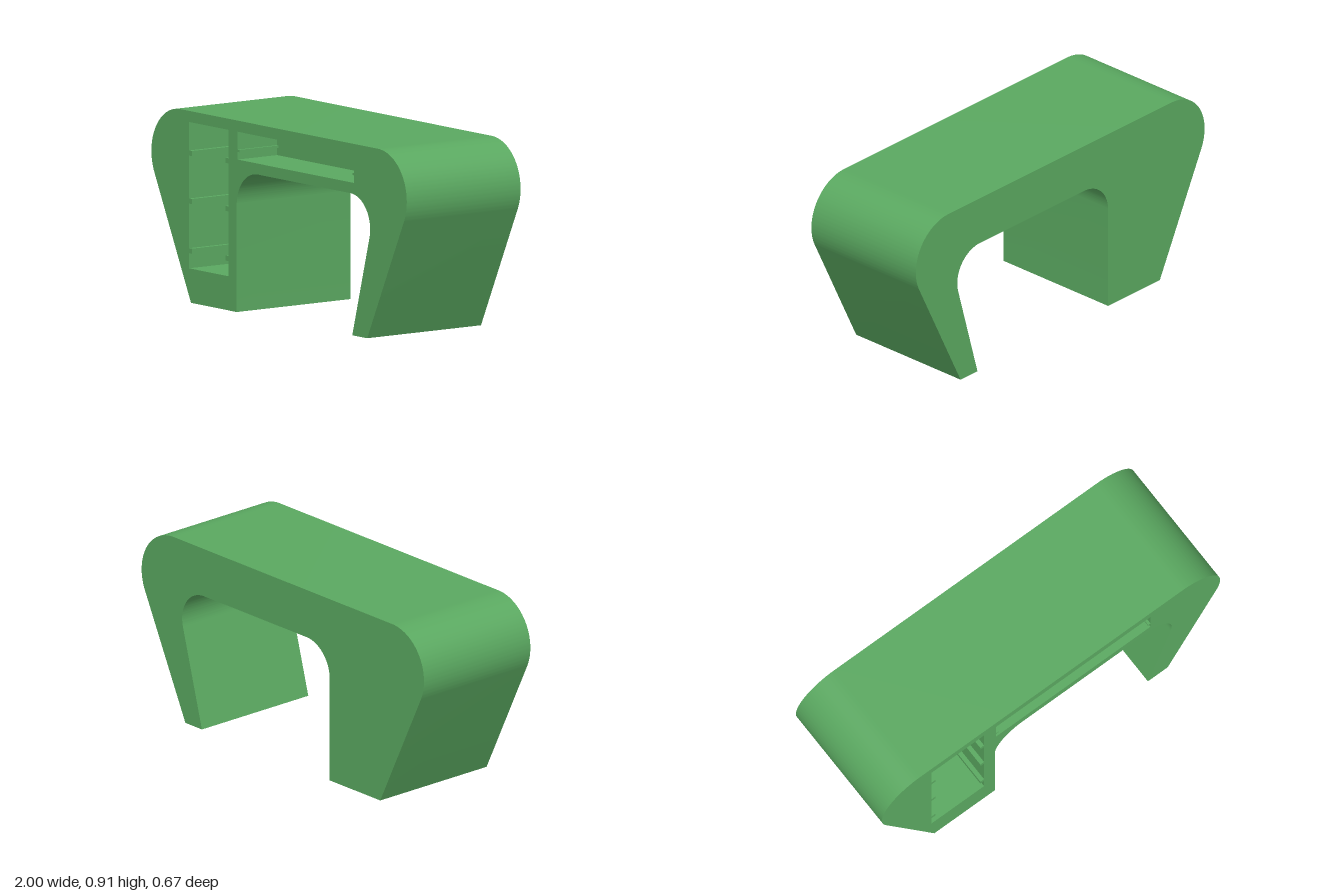
import * as THREE from 'three';
import { toCreasedNormals } from 'three/addons/utils/BufferGeometryUtils.js';

const HALF = 0.336;       // half the desk depth
const POCKET = 0.233;     // depth of the drawer openings

// Desk outline seen from the front: rounded shoulders, slanted legs, rounded knee space
function deskShape() {
  const rad = THREE.MathUtils.degToRad;
  const s = new THREE.Shape();
  s.moveTo(-0.69, 0);
  s.lineTo(-0.332, 0);
  s.absarc(-0.167, 0.511, 0.165, Math.PI, Math.PI / 2, true);
  s.absarc(0.558, 0.521, 0.155, Math.PI / 2, rad(-15.66), true);
  s.lineTo(0.573, 0);
  s.lineTo(0.69, 0);
  s.absarc(0.774, 0.688, 0.226, rad(-26), Math.PI / 2, false);
  s.absarc(-0.774, 0.688, 0.226, Math.PI / 2, rad(206), false);
  s.closePath();
  return s;
}

function rectPath({ x0, x1, y0, y1 }) {
  return new THREE.Path([[x0, y0], [x0, y1], [x1, y1], [x1, y0]].map(p => new THREE.Vector2(...p)));
}

// Only the swept side walls of an extrusion, smooth along the curves
function sideWalls(shape) {
  const g = new THREE.ExtrudeGeometry(shape, { depth: 2 * HALF, bevelEnabled: false, curveSegments: 32 });
  const { start, count } = g.groups[1];
  const walls = new THREE.BufferGeometry();
  walls.setAttribute('position',
    new THREE.BufferAttribute(g.attributes.position.array.slice(start * 3, (start + count) * 3), 3));
  return toCreasedNormals(walls, 0.35).translate(0, 0, -HALF);
}

// Inward-facing box with its front left open
function pocketGeometry({ x0, x1, y0, y1 }) {
  const g = new THREE.BoxGeometry(x1 - x0, y1 - y0, POCKET);
  const idx = Array.from(g.index.array);
  idx.splice(24, 6);
  g.setIndex(idx.reverse());
  g.clearGroups();
  g.computeVertexNormals();
  return g.translate((x0 + x1) / 2, (y0 + y1) / 2, HALF - POCKET / 2);
}

export function createModel() {
  const desk = new THREE.Group();
  desk.name = 'desk';
  const green = new THREE.MeshStandardMaterial({ color: 0x5aa860 });
  const add = (name, geometry, parent = desk) => {
    const m = new THREE.Mesh(geometry, green);
    m.name = name;
    parent.add(m);
    return m;
  };

  const openings = [
    { name: 'drawerCabinet', x0: -0.706, x1: -0.396, y0: 0.163, y1: 0.861,
      rails: [0.247, 0.484, 0.713], w: 0.022, h: 0.024 },
    { name: 'wideDrawer', x0: -0.326, x1: 0.588, y0: 0.728, y1: 0.861,
      rails: [0.77], w: 0.014, h: 0.011 },
  ];

  // Outer shell
  add('shellWalls', sideWalls(deskShape()));
  const front = deskShape();
  front.holes = openings.map(rectPath);
  add('frontPanel', new THREE.ShapeGeometry(front, 32).translate(0, 0, HALF));
  add('backPanel', new THREE.ShapeGeometry(deskShape(), 32).scale(-1, 1, 1).rotateY(0).translate(0, 0, 0))
    .geometry.copy(backPanel());

  // Drawer openings with a pair of slide rails per drawer
  for (const o of openings) {
    const group = new THREE.Group();
    group.name = o.name;
    desk.add(group);
    add('opening', pocketGeometry(o), group);
    for (const y of o.rails) {
      for (const x of [o.x0 + o.w / 2, o.x1 - o.w / 2]) {
        add('rail', new THREE.BoxGeometry(o.w, o.h, POCKET), group).position.set(x, y, HALF - POCKET / 2);
      }
    }
  }
  return desk;
}

// Plain back face, turned to face -z
function backPanel() {
  const g = new THREE.ShapeGeometry(deskShape(), 32);
  g.setIndex(Array.from(g.index.array).reverse());
  g.computeVertexNormals();
  return g.translate(0, 0, -HALF);
}
